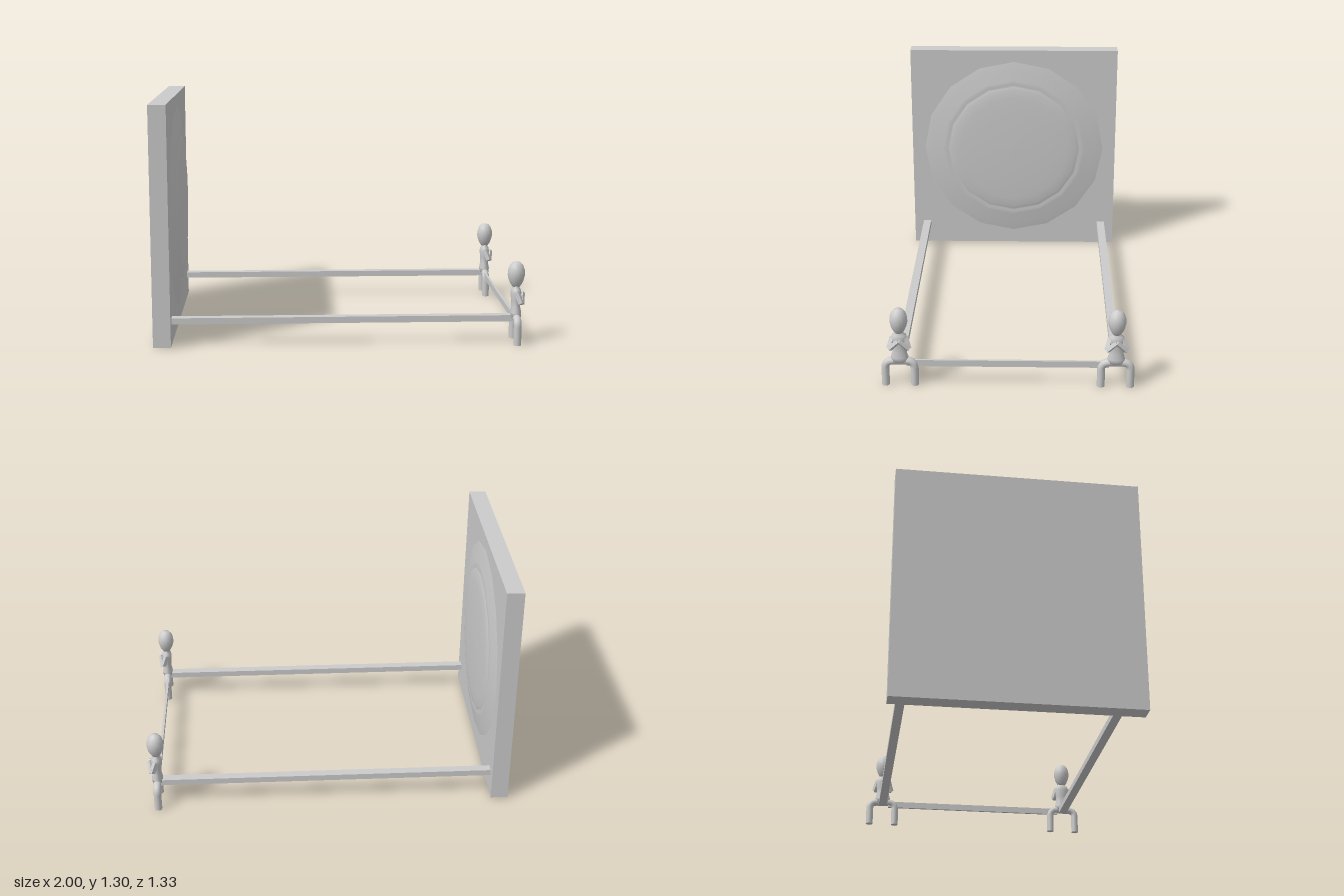
import * as THREE from 'three';

const material = new THREE.MeshStandardMaterial({ color: 0xcccccc, side: THREE.DoubleSide });
const V = (x, y, z) => new THREE.Vector3(x, y, z);

function add(parent, name, geometry, x = 0, y = 0, z = 0) {
  const mesh = new THREE.Mesh(geometry, material);
  mesh.name = name;
  mesh.position.set(x, y, z);
  parent.add(mesh);
  return mesh;
}

function lathe(points, sides) {
  return new THREE.LatheGeometry(points.map(([r, h]) => new THREE.Vector2(r, h)), sides);
}

// Tapered limb between two points
function limb(parent, name, a, b, r0, r1, sides) {
  const dir = b.clone().sub(a);
  const geo = new THREE.CylinderGeometry(r1, r0, dir.length(), sides).toNonIndexed();
  geo.computeVertexNormals();
  const mesh = add(parent, name, geo);
  mesh.position.copy(a).add(b).multiplyScalar(0.5);
  mesh.quaternion.setFromUnitVectors(V(0, 1, 0), dir.normalize());
}

// Small seated figure facing +x, used as a foot post
function createFigure() {
  const figure = new THREE.Group();
  figure.name = 'footPostFigure';

  // Both legs form one arch
  const path = new THREE.CurvePath();
  const bend = [[0.001, 0.1], [0.006, 0.128], [0.034, 0.143]];
  const h = 0.077;
  path.add(new THREE.LineCurve3(V(0, 0, -h), V(0, 0.1, -h)));
  path.add(new THREE.QuadraticBezierCurve3(V(0, 0.1, -h), V(0, 0.138, -h), V(0, 0.14, -0.035)));
  path.add(new THREE.LineCurve3(V(0, 0.14, -0.035), V(0, 0.14, 0.035)));
  path.add(new THREE.QuadraticBezierCurve3(V(0, 0.14, 0.035), V(0, 0.138, h), V(0, 0.1, h)));
  path.add(new THREE.LineCurve3(V(0, 0.1, h), V(0, 0, h)));
  add(figure, 'legs', new THREE.TubeGeometry(path, 48, 0.021, 12));
  for (const s of [-1, 1]) {
    const sole = add(figure, 'sole', new THREE.CircleGeometry(0.021, 12), 0, 0.001, s * h);
    sole.rotation.x = Math.PI / 2;
  }

  // Torso with waist, shoulders and neck
  const torso = add(figure, 'torso', lathe([
    [0, 0.125], [0.045, 0.14], [0.046, 0.165], [0.037, 0.195],
    [0.038, 0.23], [0.045, 0.27], [0.038, 0.293], [0.024, 0.303], [0.023, 0.325],
  ], 14));
  torso.scale.x = 0.65;

  // Egg-shaped head
  add(figure, 'head', lathe([
    [0, 0.3], [0.02, 0.306], [0.031, 0.322], [0.041, 0.345], [0.047, 0.372],
    [0.045, 0.398], [0.037, 0.421], [0.023, 0.438], [0, 0.445],
  ], 16));

  // Bent arms with the hands raised together in front of the chest
  for (const s of [-1, 1]) {
    const elbow = V(0.022, 0.222, s * 0.05);
    limb(figure, 'upperArm', V(0, 0.28, s * 0.032), elbow, 0.017, 0.017, 4);
    limb(figure, 'forearm', elbow, V(0.036, 0.272, 0), 0.017, 0.013, 4);
  }
  return figure;
}

export function createModel() {
  const model = new THREE.Group();
  model.name = 'bedFrame';

  add(model, 'headboard', new THREE.BoxGeometry(0.095, 1.295, 1.29), -0.9525, 0.6525, 0);

  // Shallow domed medallion with a raised rim
  const medallion = add(model, 'headboardMedallion', lathe([
    [0.572, 0], [0.52, 0.01], [0.45, 0.019], [0.438, 0.022], [0.422, 0.02], [0.41, 0.021],
    [0.395, 0.027], [0.34, 0.032], [0.24, 0.036], [0.12, 0.039], [0, 0.04],
  ], 16), -0.906, 0.66, 0);
  medallion.rotation.z = -Math.PI / 2;

  // Rails and foot posts, mirrored
  for (const s of [-1, 1]) {
    add(model, 'sideRail', new THREE.BoxGeometry(1.85, 0.034, 0.047), 0.015, 0.135, s * 0.565);
    const figure = createFigure();
    figure.position.set(0.95, 0, s * 0.565);
    model.add(figure);
  }
  add(model, 'footRail', new THREE.BoxGeometry(0.014, 0.036, 1.06), 0.947, 0.127, 0);

  return model;
}
